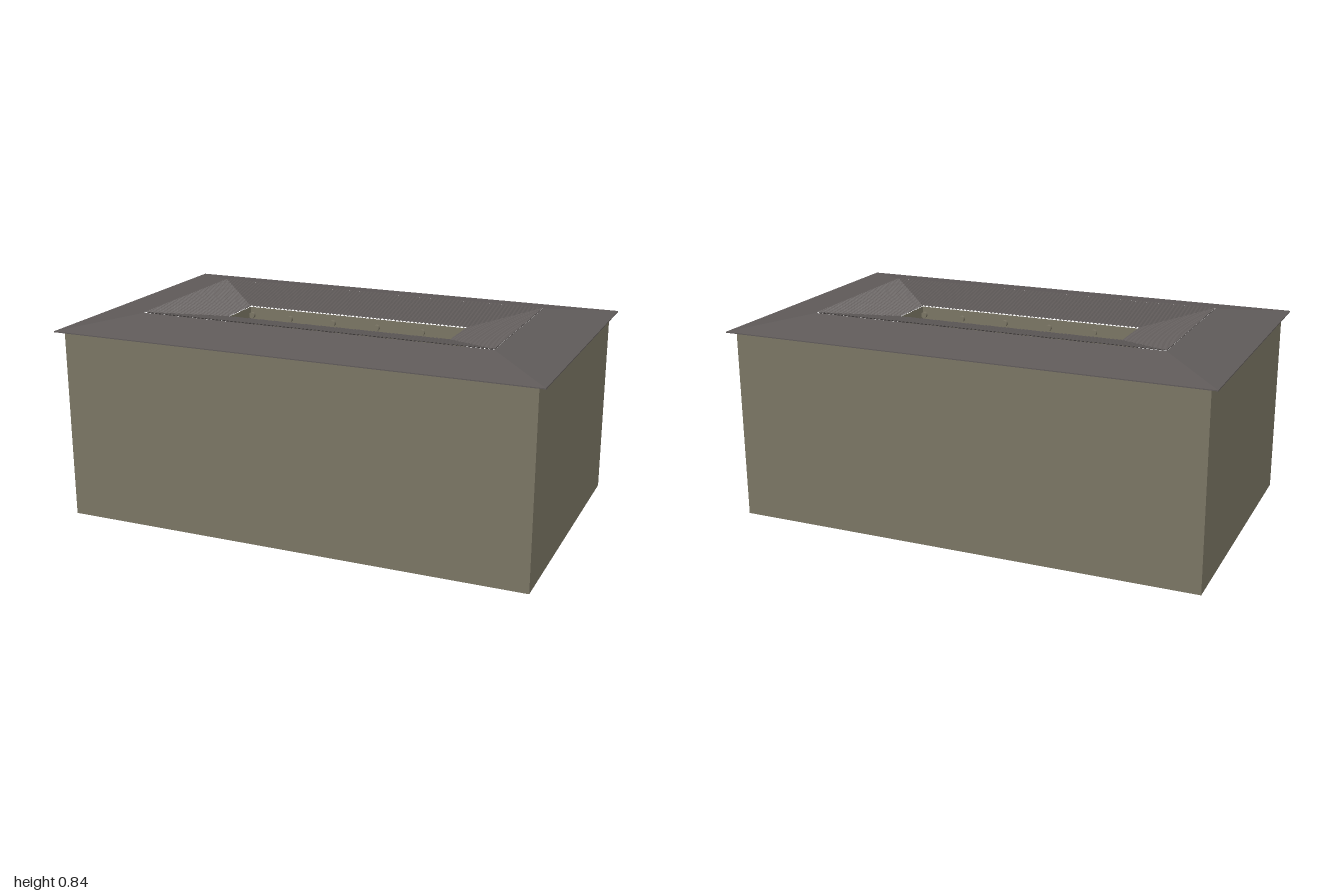
import * as THREE from 'three';

const wallMat = new THREE.MeshStandardMaterial({ color: 0x7a7564 });
wallMat.name = 'stoneWall';
const roofMat = new THREE.MeshStandardMaterial({ color: 0x5f5a59, side: THREE.DoubleSide });
roofMat.name = 'slateRoof';

// Flat-faced geometry from a list of quads
function fromQuads(quads) {
  const pos = [];
  for (const [a, b, c, d] of quads) pos.push(...a, ...b, ...c, ...a, ...c, ...d);
  const g = new THREE.BufferGeometry();
  g.setAttribute('position', new THREE.Float32BufferAttribute(pos, 3));
  g.computeVertexNormals();
  return g;
}

// Skin through rectangular rings, each given as [halfX, halfZ, y]
function rings(list) {
  const loops = list.map(([x, z, y]) => [[x, y, z], [x, y, -z], [-x, y, -z], [-x, y, z]]);
  const quads = [];
  for (let i = 0; i + 1 < loops.length; i++) {
    for (let k = 0; k < 4; k++) {
      const n = (k + 1) % 4;
      quads.push([loops[i][k], loops[i][n], loops[i + 1][n], loops[i + 1][k]]);
    }
  }
  return fromQuads(quads);
}

const RUN = 0.25, RIDGE = 0.83, EAVE = 0.78;

// Ribbed tile slope falling inward, mitred at both hips
function ribbedSlope(halfLength, ridgeDistance) {
  const ribs = Math.round(halfLength * 2 / 0.0165), perRib = 4;
  const row = [];
  for (let i = 0; i <= ribs * perRib; i++) {
    const s = -halfLength + 2 * halfLength * i / (ribs * perRib);
    const depth = Math.min(RUN, halfLength - Math.abs(s));
    const lift = 0.006 * Math.abs(Math.sin(Math.PI * i / perRib));
    row.push([
      [s, RIDGE + lift, ridgeDistance],
      [s, RIDGE - (RIDGE - EAVE) * depth / RUN + lift, ridgeDistance - depth],
    ]);
  }
  const quads = [];
  for (let i = 0; i + 1 < row.length; i++) {
    quads.push([row[i][0], row[i + 1][0], row[i + 1][1], row[i][1]]);
  }
  return fromQuads(quads);
}

export function createModel() {
  const model = new THREE.Group();
  model.name = 'courtyardHouse';
  const add = (name, geometry, material) => {
    const mesh = new THREE.Mesh(geometry, material);
    mesh.name = name;
    model.add(mesh);
    return mesh;
  };

  // Ground slab, outer walls and courtyard walls
  add('floor', new THREE.BoxGeometry(1.94, 0.01, 1.17).translate(0, 0.005, 0), wallMat);
  add('outerWalls', rings([[0.97, 0.585, 0], [0.97, 0.585, 0.785]]), wallMat);
  add('courtyardWalls', rings([[0.49, 0.105, EAVE], [0.49, 0.105, 0.01]]), wallMat);

  // Overhanging soffit, thin eave edge and smooth outer slopes
  add('outerRoof', rings([
    [0.96, 0.575, 0.784], [1, 0.615, 0.784], [1, 0.615, 0.788], [0.74, 0.355, RIDGE + 0.001],
  ]), roofMat);

  // Ribbed inner slopes, one on each side
  for (let k = 0; k < 4; k++) {
    const isLong = k % 2 === 0;
    const slope = add('innerRoofSlope',
      ribbedSlope(isLong ? 0.74 : 0.355, isLong ? 0.355 : 0.74), roofMat);
    slope.rotation.y = k * Math.PI / 2;
  }

  // Small round water spouts below the courtyard eaves
  for (const side of [-1, 1]) {
    for (const x of [-0.48, -0.3, -0.1, 0.1, 0.3, 0.48]) {
      const spout = add('waterSpout', new THREE.CylinderGeometry(0.013, 0.013, 0.02, 10), wallMat);
      spout.rotation.x = Math.PI / 2;
      spout.position.set(x, 0.745, side * 0.1);
    }
  }
  return model;
}
